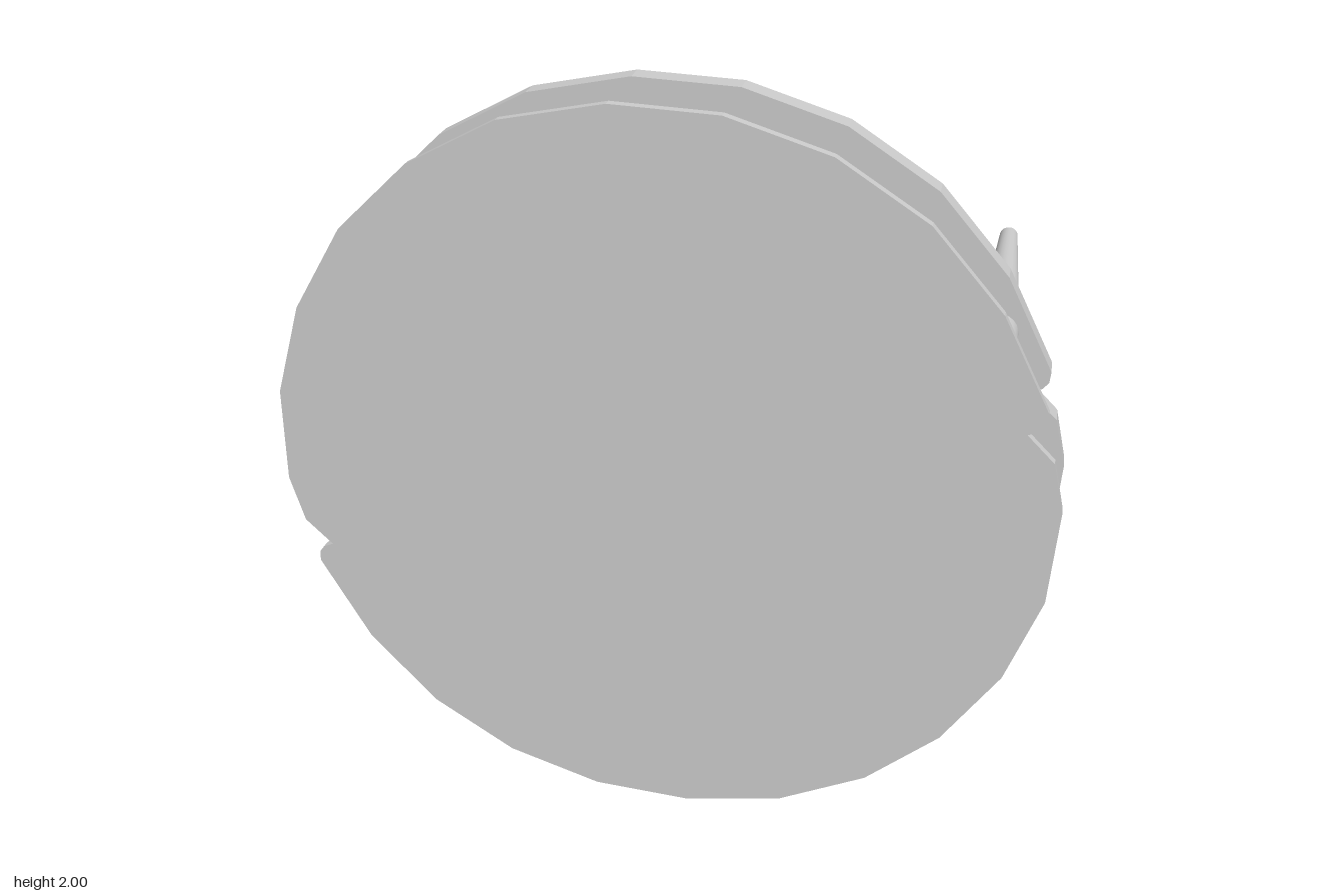
import * as THREE from 'three';

const material = new THREE.MeshStandardMaterial({ color: 0xcccccc });
const CENTRE_Y = 1;

// Half of the faceted outline, from one notch round to the other;
// the second half is the same turned by 180 degrees.
const HALF_OUTLINE = [
  [0.968, 0.217], [0.898, 0.286], [0.925, 0.298], [0.939, 0.316], [0.941, 0.345],
  [0.818, 0.58], [0.642, 0.778], [0.422, 0.917], [0.171, 0.992], [-0.091, 1],
  [-0.353, 0.944], [-0.583, 0.821], [-0.77, 0.644], [-0.909, 0.42],
  [-0.989, 0.174], [-1, -0.088],
];

function plate(name, zBack, zFront) {
  const points = [1, -1].flatMap((s) =>
    HALF_OUTLINE.map(([x, y]) => new THREE.Vector2(s * x, s * y)));
  const geometry = new THREE.ExtrudeGeometry(new THREE.Shape(points), {
    depth: zFront - zBack, bevelEnabled: false,
  });
  const mesh = new THREE.Mesh(geometry, material);
  mesh.name = name;
  mesh.position.set(0, CENTRE_Y, zBack);
  return mesh;
}

// Round section along z, from zBack to zFront
function rod(name, zBack, zFront, rBack, rFront = rBack) {
  const geometry = new THREE.CylinderGeometry(rFront, rBack, zFront - zBack, 24);
  geometry.rotateX(Math.PI / 2);
  const mesh = new THREE.Mesh(geometry, material);
  mesh.name = name;
  mesh.position.z = (zBack + zFront) / 2;
  return mesh;
}

// Tapered peg with a collar, thin stem and foot against the front plate
function peg(x, y) {
  const group = new THREE.Group();
  group.name = 'peg';
  group.add(
    rod('taperedShaft', -0.42, 0.15, 0.024, 0.05),
    rod('collar', 0.15, 0.282, 0.05),
    rod('stem', 0.282, 0.388, 0.012),
    rod('foot', 0.386, 0.398, 0.036),
  );
  group.position.set(x, CENTRE_Y + y, 0);
  return group;
}

export function createModel() {
  const model = new THREE.Group();
  model.name = 'notchedDiscAssembly';
  model.add(plate('frontPlate', 0.397, 0.42), plate('backPlate', 0.147, 0.204));

  // Three pegs, repeated by a half turn
  for (const s of [1, -1]) {
    for (const [x, y] of [[0.803, 0.437], [0.6, 0.307], [-0.502, 0.743]]) {
      model.add(peg(s * x, s * y));
    }
  }
  return model;
}
